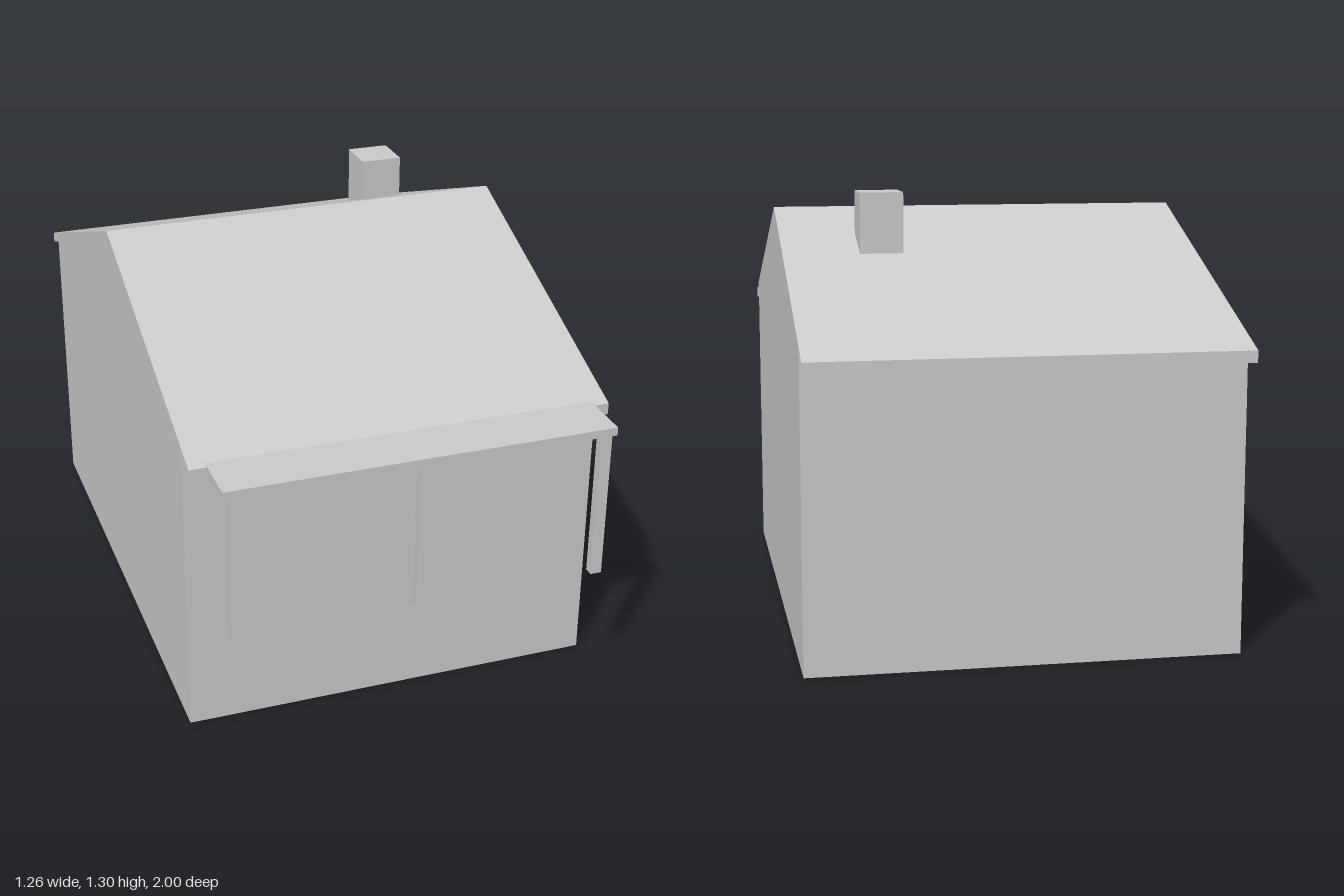
import * as THREE from 'three';

const HALF_W = 0.63, FRONT = 0.765, BACK = -0.915, RIDGE_Z = -0.075;
const WALL_H = 0.925, RIDGE_H = 1.245, EAVE_H = 0.895, FASCIA_H = 0.86;

export function createModel() {
  const model = new THREE.Group();
  model.name = 'house';
  const plaster = new THREE.MeshStandardMaterial({ color: 0xcccccc, side: THREE.DoubleSide });
  plaster.name = 'plaster grey';

  const add = (name, geometry, parent = model) => {
    const mesh = new THREE.Mesh(geometry, plaster);
    mesh.name = name;
    parent.add(mesh);
    return mesh;
  };

  // Box given by its limits on each axis
  const box = (name, [x0, x1], [y0, y1], [z0, z1], parent) => {
    const mesh = add(name, new THREE.BoxGeometry(x1 - x0, y1 - y0, z1 - z0), parent);
    mesh.position.set((x0 + x1) / 2, (y0 + y1) / 2, (z0 + z1) / 2);
    return mesh;
  };

  // Open sheet: a [z, y] polyline swept across the house width, flat faces
  const sheet = (name, line) => {
    const pos = [];
    for (let i = 0; i < line.length - 1; i++) {
      const [z0, y0] = line[i], [z1, y1] = line[i + 1];
      const a = [-HALF_W, y0, z0], b = [HALF_W, y0, z0];
      const c = [HALF_W, y1, z1], d = [-HALF_W, y1, z1];
      pos.push(...a, ...b, ...c, ...a, ...c, ...d);
    }
    const geo = new THREE.BufferGeometry();
    geo.setAttribute('position', new THREE.Float32BufferAttribute(pos, 3));
    geo.computeVertexNormals();
    return add(name, geo);
  };

  // Hollow walls, open at the bottom
  sheet('frontWall', [[FRONT, 0], [FRONT, WALL_H]]);
  sheet('backWall', [[BACK, WALL_H], [BACK, 0]]);
  const gable = new THREE.Shape([
    [-FRONT, 0], [-BACK, 0], [-BACK, WALL_H], [-RIDGE_Z, RIDGE_H], [-FRONT, WALL_H],
  ].map(([u, v]) => new THREE.Vector2(u, v)));
  const rightGable = add('leftGableWall', new THREE.ShapeGeometry(gable).rotateY(Math.PI / 2));
  rightGable.position.x = HALF_W;
  const mirrored = new THREE.Shape(gable.getPoints().map((p) => new THREE.Vector2(-p.x, p.y)));
  const leftGable = add('rightGableWall', new THREE.ShapeGeometry(mirrored).rotateY(-Math.PI / 2));
  leftGable.position.x = -HALF_W;

  // Thin roof with overhanging eaves and fascia strips
  sheet('roof', [
    [0.845, FASCIA_H], [0.845, EAVE_H], [RIDGE_Z, RIDGE_H], [-1, EAVE_H], [-1, FASCIA_H],
  ]);

  // Chimney behind the ridge
  box('chimney', [0.27, 0.4], [1.1, 1.305], [-0.395, -0.262]);

  // Porch canopy with hanging posts
  const porch = new THREE.Group();
  porch.name = 'porch';
  model.add(porch);
  box('porchCanopy', [-0.58, 0.58], [0.876, 0.901], [FRONT, 1], porch);
  for (const x of [-0.547, 0, 0.547]) {
    box('porchPost', [x - 0.017, x + 0.017], [0.425, 0.876], [0.972, 1], porch);
  }

  // Window boxes set on the inner faces of the walls
  for (const s of [-1, 1]) {
    box('frontWindowBox', [s * 0.37 - 0.1, s * 0.37 + 0.1], [0.42, 0.79], [0.71, FRONT - 0.003]);
    box('sideWindowBox', [s * 0.6 - 0.027, s * 0.6 + 0.027], [0.57, 0.79], [-0.18, 0]);
  }

  return model;
}
